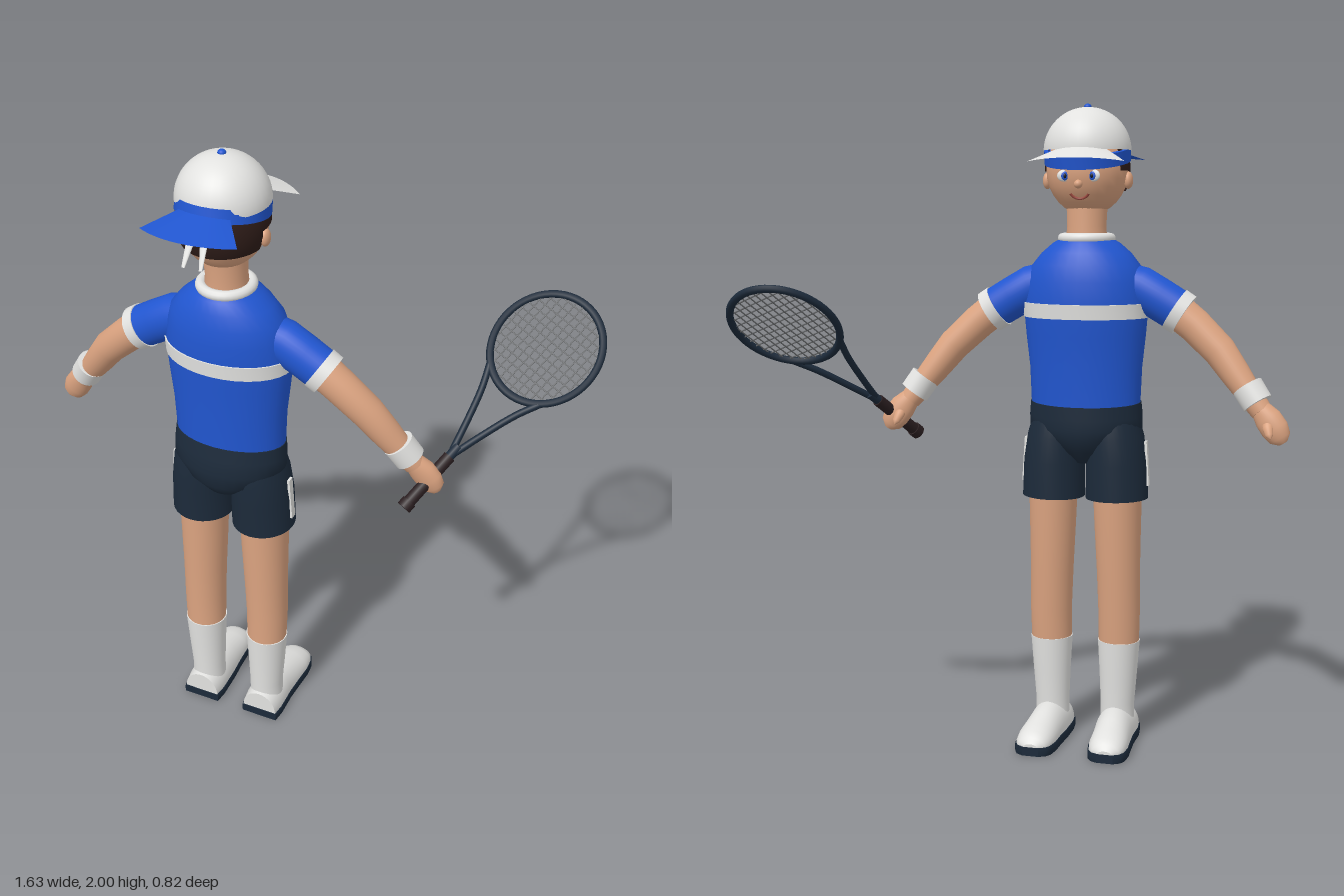
import * as THREE from 'three';
import { ParametricGeometry } from 'three/addons/geometries/ParametricGeometry.js';

const mat = (name, color, side = THREE.FrontSide) =>
  Object.assign(new THREE.MeshStandardMaterial({ color, side }), { name });
const V = (x, y, z) => new THREE.Vector3(x, y, z);

// Loft through elliptical sections [x, y, z, ra, rb]; s mirrors x, ref sets the direction of rb.
function loft(sections, { s = 1, ref = V(0, 0, 1), yMin = -9, yMax = 9, n = 32 } = {}) {
  const c = sections.map(p => V(p[0] * s, p[1], p[2]));
  const pos = [], idx = [];
  const put = p => pos.push(p.x, THREE.MathUtils.clamp(p.y, yMin, yMax), p.z);
  const rings = sections.map((p, i) => {
    const t = c[Math.min(i + 1, c.length - 1)].clone().sub(c[Math.max(i - 1, 0)]).normalize();
    const b = ref.clone().addScaledVector(t, -ref.dot(t)).normalize();
    const a = t.clone().cross(b);
    return Array.from({ length: n }, (_, j) => {
      const w = j / n * Math.PI * 2;
      return c[i].clone().addScaledVector(a, p[3] * Math.cos(w)).addScaledVector(b, p[4] * Math.sin(w));
    });
  });
  rings.forEach(r => r.forEach(put));
  for (let i = 0; i < c.length - 1; i++) for (let j = 0; j < n; j++) {
    const k = (j + 1) % n, A = i * n + j, B = A + n, C = (i + 1) * n + k, D = i * n + k;
    idx.push(A, B, C, A, C, D);
  }
  // End caps have their own vertices, so their rims stay sharp
  [0, c.length - 1].forEach((i, end) => {
    const o = pos.length / 3;
    put(c[i]);
    rings[i].forEach(put);
    for (let j = 0; j < n; j++) {
      const p = o + 1 + j, q = o + 1 + (j + 1) % n;
      end ? idx.push(o, q, p) : idx.push(o, p, q);
    }
  });
  const g = new THREE.BufferGeometry();
  g.setAttribute('position', new THREE.Float32BufferAttribute(pos, 3));
  g.setIndex(idx);
  g.computeVertexNormals();
  return g;
}

export function createModel() {
  const skin = mat('skin', 0xdba380), blue = mat('blue cloth', 0x2156d0, THREE.DoubleSide);
  const white = mat('white cloth', 0xe2e2e0, THREE.DoubleSide), navy = mat('navy', 0x1c2a3a);
  const hair = mat('dark hair', 0x2e1c18, THREE.DoubleSide), grip = mat('grip', 0x2a1e20);
  const strings = mat('racket strings', 0x66686a), black = mat('black', 0x15151a);
  const mouthRed = mat('mouth', 0x9c4a40);

  const root = new THREE.Group(), body = new THREE.Group();
  root.name = 'tennisPlayer';
  body.name = 'player';
  body.position.x = -0.167;
  root.add(body);
  const add = (name, geo, m, parent = body) => {
    const mesh = new THREE.Mesh(geo, m);
    mesh.name = name;
    parent.add(mesh);
    return mesh;
  };
  const ball = (name, m, x, y, z, rx, ry, rz) => {
    const b = add(name, new THREE.SphereGeometry(1, 24, 16), m);
    b.position.set(x, y, z);
    b.scale.set(rx, ry, rz);
    return b;
  };

  // Shirt, chest stripe and collar
  add('shirt', loft([
    [0, 1.08, 0.16, 0.172, 0.112], [0, 1.2, 0.158, 0.177, 0.116], [0, 1.3, 0.155, 0.188, 0.124],
    [0, 1.36, 0.153, 0.193, 0.129], [0, 1.4, 0.152, 0.195, 0.131], [0, 1.46, 0.154, 0.187, 0.129],
    [0, 1.51, 0.156, 0.172, 0.121], [0, 1.55, 0.157, 0.14, 0.107], [0, 1.58, 0.157, 0.105, 0.092],
    [0, 1.6, 0.157, 0.07, 0.07]]), blue);
  add('chestStripe', loft([[0, 1.355, 0.153, 0.196, 0.132], [0, 1.4, 0.152, 0.199, 0.135]]), white);
  const collar = add('collar', new THREE.TorusGeometry(0.073, 0.016, 12, 32), white);
  collar.rotation.x = Math.PI / 2;
  collar.position.set(0, 1.595, 0.157);

  // Shorts seat
  add('shortsSeat', loft([
    [0, 0.895, 0.16, 0.03, 0.05], [0, 0.93, 0.163, 0.085, 0.095], [0, 0.97, 0.167, 0.145, 0.117],
    [0, 1.01, 0.169, 0.178, 0.123], [0, 1.05, 0.165, 0.179, 0.12], [0, 1.092, 0.161, 0.175, 0.116]]), navy);

  for (const s of [-1, 1]) {
    const side = s > 0 ? 'left' : 'right';
    // Shorts leg with side stripe
    add(side + 'ShortsLeg', loft([[0.102, 0.788, 0.16, 0.098, 0.1], [0.1, 0.9, 0.16, 0.096, 0.1],
      [0.094, 0.98, 0.163, 0.09, 0.1], [0.085, 1.04, 0.163, 0.08, 0.09]], { s }), navy);
    const stripe = add(side + 'ShortsStripe', new THREE.BoxGeometry(0.008, 0.14, 0.022), white);
    stripe.position.set(s * 0.196, 0.9, 0.163);
    stripe.rotation.z = s * 0.06;
    // Leg, sock and shoe
    add(side + 'Leg', loft([[0.11, 0.31, 0.174, 0.064, 0.062], [0.111, 0.42, 0.169, 0.066, 0.066],
      [0.108, 0.55, 0.166, 0.068, 0.072], [0.105, 0.7, 0.162, 0.073, 0.078], [0.103, 0.85, 0.16, 0.078, 0.082]], { s }), skin);
    add(side + 'Sock', loft([[0.107, 0.07, 0.177, 0.054, 0.054], [0.107, 0.12, 0.177, 0.054, 0.054],
      [0.109, 0.22, 0.175, 0.06, 0.06], [0.11, 0.325, 0.174, 0.067, 0.065]], { s }), white);
    const shoe = [[0.108, 0.24, 0.058, 0.068], [0.108, 0.2, 0.063, 0.077], [0.108, 0.12, 0.061, 0.085],
      [0.112, 0.06, 0.06, 0.069], [0.115, 0, 0.061, 0.055], [0.117, -0.04, 0.055, 0.042],
      [0.118, -0.06, 0.044, 0.028], [0.118, -0.072, 0.022, 0.01]];
    const up = V(0, 1, 0);
    add(side + 'Shoe', loft(shoe.map(([x, z, w, h]) => [x, 0.028, z, w, h]), { s, ref: up, yMin: 0.026 }), white);
    add(side + 'ShoeSole', loft(shoe.map(([x, z, w]) => [x, 0.014, z * 1.01, w + 0.004, 0.1]),
      { s, ref: up, yMin: 0, yMax: 0.028 }), navy);
    // Sleeve with cuff
    add(side + 'Sleeve', loft([[0.09, 1.475, 0.152, 0.055, 0.055], [0.17, 1.445, 0.15, 0.067, 0.06],
      [0.23, 1.412, 0.148, 0.065, 0.059], [0.295, 1.373, 0.147, 0.064, 0.058]], { s }), blue);
    add(side + 'Cuff', loft([[0.278, 1.383, 0.147, 0.068, 0.062], [0.308, 1.364, 0.147, 0.067, 0.061]], { s }), white);
    // Arm, wristband, hand and thumb
    add(side + 'Arm', loft([[0.27, 1.39, 0.147, 0.055, 0.052], [0.34, 1.335, 0.142, 0.053, 0.051],
      [0.42, 1.26, 0.128, 0.05, 0.049], [0.47, 1.195, 0.112, 0.045, 0.045], [0.52, 1.13, 0.096, 0.038, 0.038],
      [0.555, 1.085, 0.084, 0.033, 0.032]], { s }), skin);
    add(side + 'Wristband', loft([[0.508, 1.158, 0.102, 0.048, 0.047], [0.542, 1.108, 0.09, 0.047, 0.046]], { s }), white);
    add(side + 'Hand', loft([[0.55, 1.095, 0.085, 0.03, 0.028], [0.575, 1.065, 0.076, 0.041, 0.031],
      [0.597, 1.035, 0.07, 0.042, 0.03], [0.613, 1.01, 0.068, 0.034, 0.025], [0.622, 0.995, 0.068, 0.014, 0.012]], { s }), skin);
    add(side + 'Thumb', loft([[0.575, 1.06, 0.07, 0.018, 0.015], [0.578, 1.04, 0.045, 0.016, 0.014],
      [0.584, 1.022, 0.032, 0.012, 0.011], [0.588, 1.012, 0.03, 0.003, 0.003]], { s }), skin);
    // Ear and eye
    ball(side + 'Ear', skin, s * 0.127, 1.77, 0.165, 0.014, 0.026, 0.02);
    ball(side + 'EyeWhite', white, s * 0.045, 1.782, 0.046, 0.022, 0.018, 0.008).rotation.y = s * 0.35;
    ball(side + 'Iris', blue, s * 0.042, 1.781, 0.0395, 0.011, 0.013, 0.004).rotation.y = s * 0.35;
    ball(side + 'Pupil', black, s * 0.0415, 1.781, 0.0365, 0.005, 0.007, 0.003);
    // Headband tail
    add(side + 'BandTail', loft([[0.012, 1.845, 0.288, 0.008, 0.004], [0.02, 1.8, 0.315, 0.012, 0.004],
      [0.026, 1.738, 0.352, 0.005, 0.003]], { s, n: 12 }), white);
  }

  // Neck, head and face
  add('neck', loft([[0, 1.57, 0.155, 0.066, 0.066], [0, 1.63, 0.155, 0.06, 0.062], [0, 1.72, 0.16, 0.064, 0.066]]), skin);
  ball('head', skin, 0, 1.802, 0.163, 0.126, 0.138, 0.13);
  ball('nose', skin, 0, 1.757, 0.036, 0.013, 0.013, 0.014);
  const mouth = add('mouth', new THREE.TorusGeometry(0.032, 0.004, 8, 16, Math.PI * 0.7), mouthRed);
  mouth.rotation.set(-0.5, 0, Math.PI * 1.15);
  mouth.position.set(0, 1.742, 0.046);

  // Hair: full back and shorter sides
  for (const [name, spread, end] of [['backHair', -0.15, 2.03], ['sideHair', 0.5, 1.6]]) {
    const h = add(name, new THREE.SphereGeometry(1, 32, 16, -spread, Math.PI + 2 * spread, 0.5, end - 0.5), hair);
    h.position.set(0, 1.802, 0.163);
    h.scale.set(0.131, 0.143, 0.137);
  }

  // Cap, button, headband and two brims
  const cap = add('capDome', new THREE.SphereGeometry(1, 32, 16, 0, Math.PI * 2, 0, Math.PI / 2), white);
  cap.position.set(0, 1.86, 0.158);
  cap.scale.set(0.134, 0.13, 0.132);
  ball('capButton', blue, 0, 1.99, 0.158, 0.012, 0.01, 0.012);
  add('headband', loft([[0, 1.825, 0.163, 0.132, 0.137], [0, 1.865, 0.155, 0.132, 0.135]]), blue);
  const brim = (name, m, dir, half, r1, drop, curl) => add(name, new ParametricGeometry((u, v, p) => {
    const w = (u - 0.5) * 2 * half, r = THREE.MathUtils.lerp(0.115, r1, v);
    p.set(Math.sin(w) * r, 1.872 - drop * v - curl * (u - 0.5) ** 2 * 4, 0.16 + dir * Math.cos(w) * r);
  }, 24, 6), m);
  brim('blueBrim', blue, 1, 0.61, 0.25, 0.028, 0.008);
  brim('whiteBrim', white, -1, 0.72, 0.226, 0.04, 0.01);

  // Racket in its own axes: y along the handle from the butt, x across the head
  const racket = new THREE.Group();
  racket.name = 'racket';
  const butt = V(0.385, 0.97, 0.15), centre = V(0.65, 1.34, -0.277);
  const L = centre.distanceTo(butt), u = centre.clone().sub(butt).normalize();
  const v = V(0.89, -0.35, 0.24).addScaledVector(u, -V(0.89, -0.35, 0.24).dot(u)).normalize();
  racket.applyMatrix4(new THREE.Matrix4().makeBasis(v, u, v.clone().cross(u)).setPosition(butt));
  root.add(racket);
  const rod = (name, r, len, x, y, m, across) => {
    const g = add(name, new THREE.CylinderGeometry(r, r, len, r < 0.01 ? 5 : 16), m, racket);
    g.position.set(x, y, 0);
    if (across) g.rotation.z = Math.PI / 2;
  };
  rod('racketGrip', 0.019, 0.2, 0, 0.1, grip);
  rod('racketButt', 0.023, 0.025, 0, 0.012, grip);
  rod('racketShaft', 0.015, 0.06, 0, 0.21, navy);
  const a = 0.172, b = 0.157;
  const rim = add('racketRim', new THREE.TorusGeometry(1, 0.07, 10, 56), navy, racket);
  rim.position.y = L;
  rim.scale.set(b, a, 0.17);
  for (const s of [-1, 1]) {
    const path = new THREE.CatmullRomCurve3([V(s * 0.006, 0.22, 0), V(s * 0.028, 0.3, 0),
      V(s * 0.064, L - 0.21, 0), V(s * b * 0.62, L - a * 0.79, 0)]);
    add('racketThroat', new THREE.TubeGeometry(path, 16, 0.0105, 10), navy, racket);
  }
  for (let i = -6; i <= 6; i++) {
    const f = i / 7, chord = Math.sqrt(1 - f * f);
    rod('mainString', 0.0022, 2 * a * chord, f * b, L, strings);
    rod('crossString', 0.0022, 2 * b * chord, 0, L + f * a, strings, true);
  }
  return root;
}
